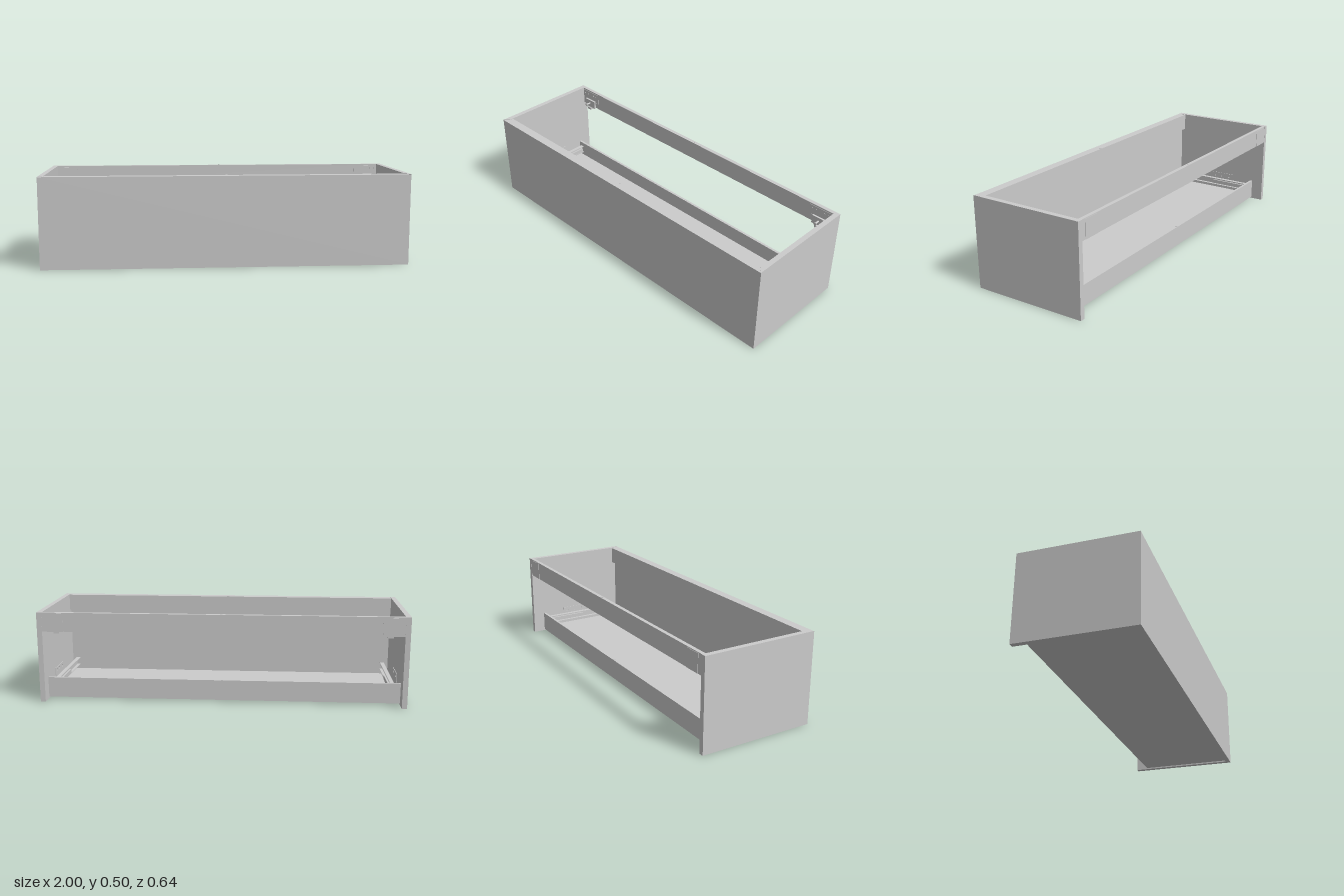
import * as THREE from 'three';

const material = new THREE.MeshStandardMaterial({ color: 0xcccccc, side: THREE.DoubleSide });

function add(parent, name, geometry) {
  const mesh = new THREE.Mesh(geometry, material);
  mesh.name = name;
  parent.add(mesh);
  return mesh;
}

// Box given by its lower and upper limits on each axis
function box(parent, name, [x0, x1], [y0, y1], [z0, z1]) {
  const mesh = add(parent, name, new THREE.BoxGeometry(Math.abs(x1 - x0), y1 - y0, z1 - z0));
  mesh.position.set((x0 + x1) / 2, (y0 + y1) / 2, (z0 + z1) / 2);
  return mesh;
}

// Upright panel extruded from an outline of [x, z] points
function panel(parent, name, outline, height) {
  const shape = new THREE.Shape(outline.map(([x, z]) => new THREE.Vector2(x, -z)));
  const geometry = new THREE.ExtrudeGeometry(shape, { depth: height, bevelEnabled: false });
  return add(parent, name, geometry.rotateX(-Math.PI / 2));
}

function cylinder(parent, name, radius, length, axis, x, y, z) {
  const geometry = new THREE.CylinderGeometry(radius, radius, length, 16);
  if (axis === 'x') geometry.rotateZ(Math.PI / 2);
  if (axis === 'z') geometry.rotateX(Math.PI / 2);
  add(parent, name, geometry).position.set(x, y, z);
}

// Thin plate in the x-y plane with round holes
function holedPlate(parent, name, width, height, depth, holes, radius) {
  const shape = new THREE.Shape([
    [-width / 2, -height / 2], [width / 2, -height / 2],
    [width / 2, height / 2], [-width / 2, height / 2],
  ].map(([x, y]) => new THREE.Vector2(x, y)));
  for (const [x, y] of holes) {
    shape.holes.push(new THREE.Path().absarc(x, y, radius, 0, Math.PI * 2, true));
  }
  return add(parent, name, new THREE.ExtrudeGeometry(shape, { depth, bevelEnabled: false, curveSegments: 8 }));
}

export function createModel() {
  const model = new THREE.Group();
  model.name = 'drawerCabinet';
  const W = 1, T = 0.028, D = 0.32, H = 0.5, inner = W - T;

  // Carcass: mitred front and sides, open top
  panel(model, 'frontPanel', [[-W, D], [W, D], [inner, D - T], [-inner, D - T]], H - 0.002);
  box(model, 'frontTopRail', [-inner, inner], [0.4, H - 0.002], [0.27, D - T]);
  box(model, 'backTopRail', [-inner, inner], [0.395, H], [-0.319, -0.298]);
  box(model, 'lowerBackRail', [-inner, inner], [0.008, 0.12], [-0.25, -0.236]);
  box(model, 'bottomPanel', [-inner, inner], [0.008, 0.03], [-0.25, D - T]);

  // Dowel caps at the middle of each rail
  for (const [y, z] of [[H, -0.309], [0.12, -0.243], [H - 0.002, 0.281]]) {
    cylinder(model, 'dowelCap', 0.006, 0.004, 'y', 0, y, z);
  }

  for (const s of [1, -1]) {
    const side = s > 0 ? 'left' : 'right';
    panel(model, side + 'SidePanel', [[s * W, -D], [s * W, D], [s * inner, D - T], [s * inner, -D]], H);

    // Drawer runner along the side wall
    const runner = new THREE.Group();
    runner.name = side + 'Runner';
    model.add(runner);
    box(runner, 'runnerTop', [s * 0.922, s * 0.945], [0.1, 0.105], [-0.225, 0.27]);
    box(runner, 'runnerWeb', [s * 0.941, s * 0.945], [0.065, 0.1], [-0.225, 0.27]);
    box(runner, 'runnerFoot', [s * 0.922, s * 0.945], [0.061, 0.065], [-0.225, 0.27]);
    box(runner, 'runnerSlide', [s * 0.912, s * 0.922], [0.075, 0.098], [-0.21, 0.01]);

    // Wall bracket holding the runner
    const plate = holedPlate(runner, 'runnerWallPlate', 0.16, 0.075, 0.003,
      [[-0.05, 0.02], [0, 0.02], [0.05, 0.02]], 0.008);
    plate.rotation.y = -s * Math.PI / 2;
    plate.position.set(s * (inner - 0.001), 0.098, -0.03);
    const shelf = holedPlate(runner, 'runnerShelf', 0.16, 0.027, 0.003,
      [[-0.05, 0], [0, 0], [0.05, 0]], 0.007);
    shelf.rotation.set(-Math.PI / 2, 0, Math.PI / 2);
    shelf.position.set(s * 0.9585, 0.06, -0.03);

    // Wall hanger on the back rail
    const hanger = new THREE.Group();
    hanger.name = side + 'Hanger';
    model.add(hanger);
    box(hanger, 'hangerOuterPlate', [s * 0.855, s * 0.945], [0.395, 0.495], [-0.321, -0.318]);
    const inside = holedPlate(hanger, 'hangerInnerPlate', 0.135, 0.095, 0.003,
      [[-0.05, 0.03], [-0.025, 0.03], [0.025, 0.03], [0.05, 0.03], [-0.05, -0.01], [0.05, -0.01]], 0.005);
    inside.position.set(s * 0.9, 0.445, -0.299);
    box(hanger, 'hangerBody', [s * 0.858, s * 0.942], [0.392, 0.44], [-0.297, -0.285]);
    cylinder(hanger, 'adjusterScrew', 0.005, 0.034, 'z', s * 0.9, 0.42, -0.27);
    cylinder(hanger, 'adjusterHead', 0.009, 0.005, 'z', s * 0.9, 0.42, -0.256);
    box(hanger, 'hangerHook', [s * 0.885, s * 0.915], [0.38, 0.393], [-0.297, -0.275]);
  }
  return model;
}
